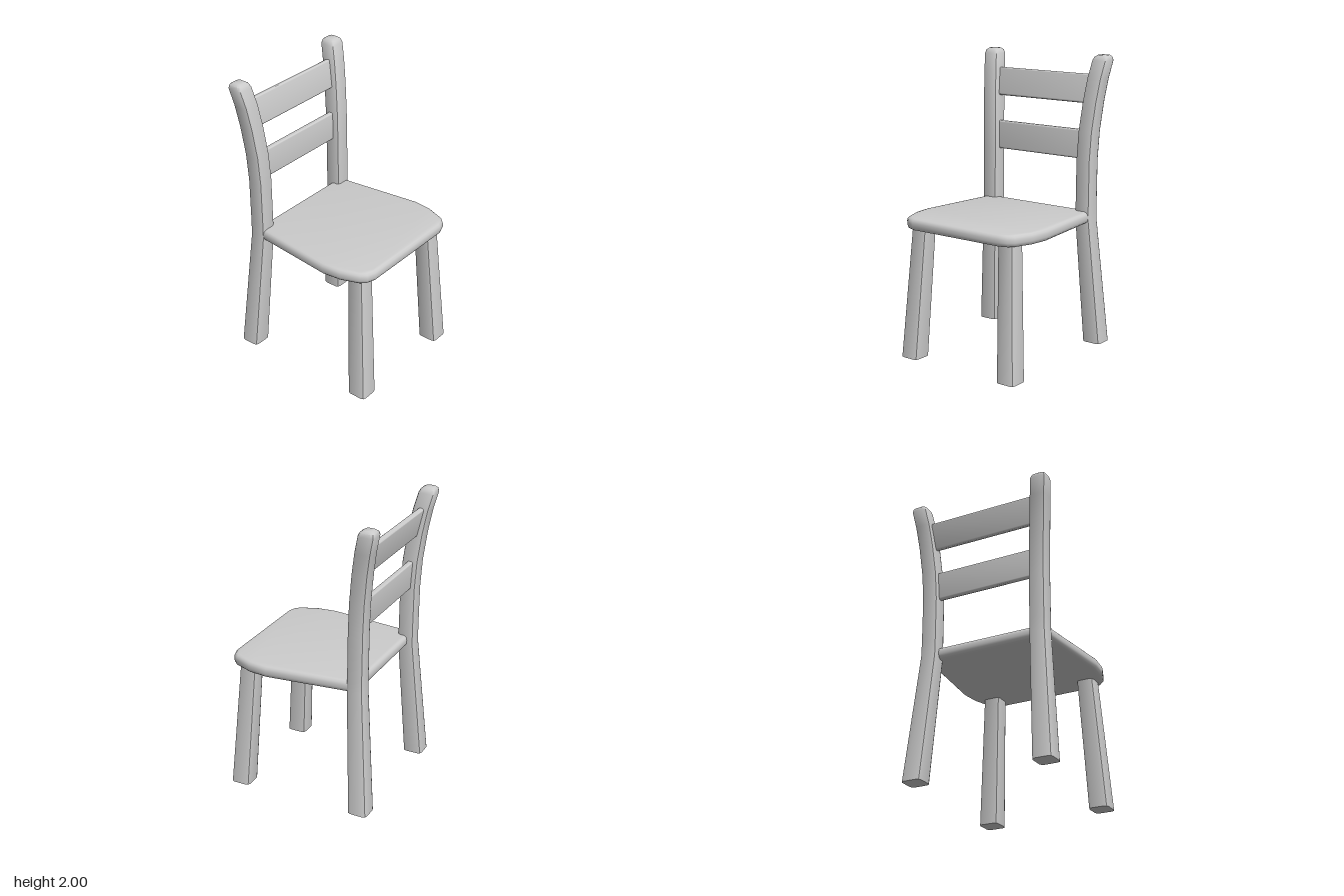
import * as THREE from 'three';
import { toCreasedNormals } from 'three/addons/utils/BufferGeometryUtils.js';

const material = new THREE.MeshStandardMaterial({ color: 0xcccccc });

function addMesh(parent, name, geometry) {
  const mesh = new THREE.Mesh(toCreasedNormals(geometry, 0.75), material);
  mesh.name = name;
  parent.add(mesh);
  return mesh;
}

// Square bar with rounded corners, lofted upward through sections [y, x, z, width, radius]
function loft(sections) {
  const position = [], index = [], steps = 2, ring = 4 * (steps + 1);
  const push = (y, cx, cz, w, r) => {
    for (let c = 0; c < 4; c++) {
      const mid = Math.PI / 4 + c * Math.PI / 2;
      const sx = Math.sign(Math.cos(mid)), sz = Math.sign(Math.sin(mid));
      for (let k = 0; k <= steps; k++) {
        const a = (c + k / steps) * Math.PI / 2;
        position.push(cx + sx * (w / 2 - r) + r * Math.cos(a), y, cz + sz * (w / 2 - r) + r * Math.sin(a));
      }
    }
  };
  sections.forEach(s => push(...s));
  const last = (sections.length - 1) * ring;
  for (let s = 0; s < last; s += ring) {
    for (let i = 0; i < ring; i++) {
      const j = (i + 1) % ring;
      index.push(s + i, s + ring + i, s + j, s + j, s + ring + i, s + ring + j);
    }
  }
  // Flat end caps
  for (let i = 1; i < ring - 1; i++) {
    index.push(0, i, i + 1, last, last + i + 1, last + i);
  }
  const geometry = new THREE.BufferGeometry();
  geometry.setAttribute('position', new THREE.Float32BufferAttribute(position, 3));
  geometry.setIndex(index);
  return geometry;
}

// Plate with softly rounded edges; the bevel stays inside the outline
function plate(shape, thickness, bevel) {
  const geometry = new THREE.ExtrudeGeometry(shape, {
    depth: thickness - 2 * bevel, bevelThickness: bevel, bevelSize: bevel,
    bevelOffset: -bevel, bevelSegments: 3,
  });
  return geometry.translate(0, 0, bevel - thickness / 2);
}

export function createModel() {
  const chair = new THREE.Group();
  chair.name = 'chair';

  // Seat: widest ahead of the middle, tapering to the back
  const side = [[0.435, -0.4], [0.506, 0.22], [0.492, 0.35], [0.445, 0.475], [0.41, 0.51], [0.35, 0.53]];
  const outline = [...side, ...side.map(([x, z]) => [-x, z]).reverse()];
  const seatShape = new THREE.Shape(outline.map(([x, z]) => new THREE.Vector2(x, z)));
  const seat = plate(seatShape, 0.08, 0.03).rotateX(Math.PI / 2).translate(0, 0.925, 0);
  addMesh(chair, 'seat', seat);

  for (const s of [1, -1]) {
    const label = s > 0 ? 'left' : 'right';
    // Splayed front leg
    addMesh(chair, label + 'FrontLeg', loft([
      [0, s * 0.403, 0.466, 0.136, 0.024],
      [0.92, s * 0.354, 0.405, 0.118, 0.022],
    ]));
    // Back leg that continues up as a curved post with a bevelled top
    addMesh(chair, label + 'BackPost', loft([
      [0.04, s * 0.45, -0.443, 0.135, 0.024],
      [0.9, s * 0.394, -0.386, 0.116, 0.024],
      [1.0, s * 0.393, -0.386, 0.115, 0.024],
      [1.31, s * 0.393, -0.389, 0.115, 0.024],
      [1.5, s * 0.4, -0.399, 0.115, 0.024],
      [1.7, s * 0.416, -0.422, 0.115, 0.024],
      [1.85, s * 0.432, -0.447, 0.115, 0.024],
      [1.965, s * 0.449, -0.475, 0.114, 0.024],
      [1.988, s * 0.451, -0.478, 0.098, 0.022],
      [2.0, s * 0.452, -0.479, 0.066, 0.018],
    ]));
  }

  // Backrest slats, leaning with the posts: [name, bottom y, top y, bottom z, top z, half length]
  for (const [name, y0, y1, z0, z1, half] of [
    ['lowerSlat', 1.31, 1.505, -0.394, -0.404, 0.38],
    ['upperSlat', 1.68, 1.87, -0.419, -0.457, 0.4],
  ]) {
    const h = Math.hypot(y1 - y0, z1 - z0) / 2;
    const shape = new THREE.Shape([[-half, -h], [half, -h], [half, h], [-half, h]].map(p => new THREE.Vector2(...p)));
    const slat = addMesh(chair, name, plate(shape, 0.038, 0.012));
    slat.position.set(0, (y0 + y1) / 2, (z0 + z1) / 2);
    slat.rotation.x = Math.atan2(z1 - z0, y1 - y0);
  }

  return chair;
}
